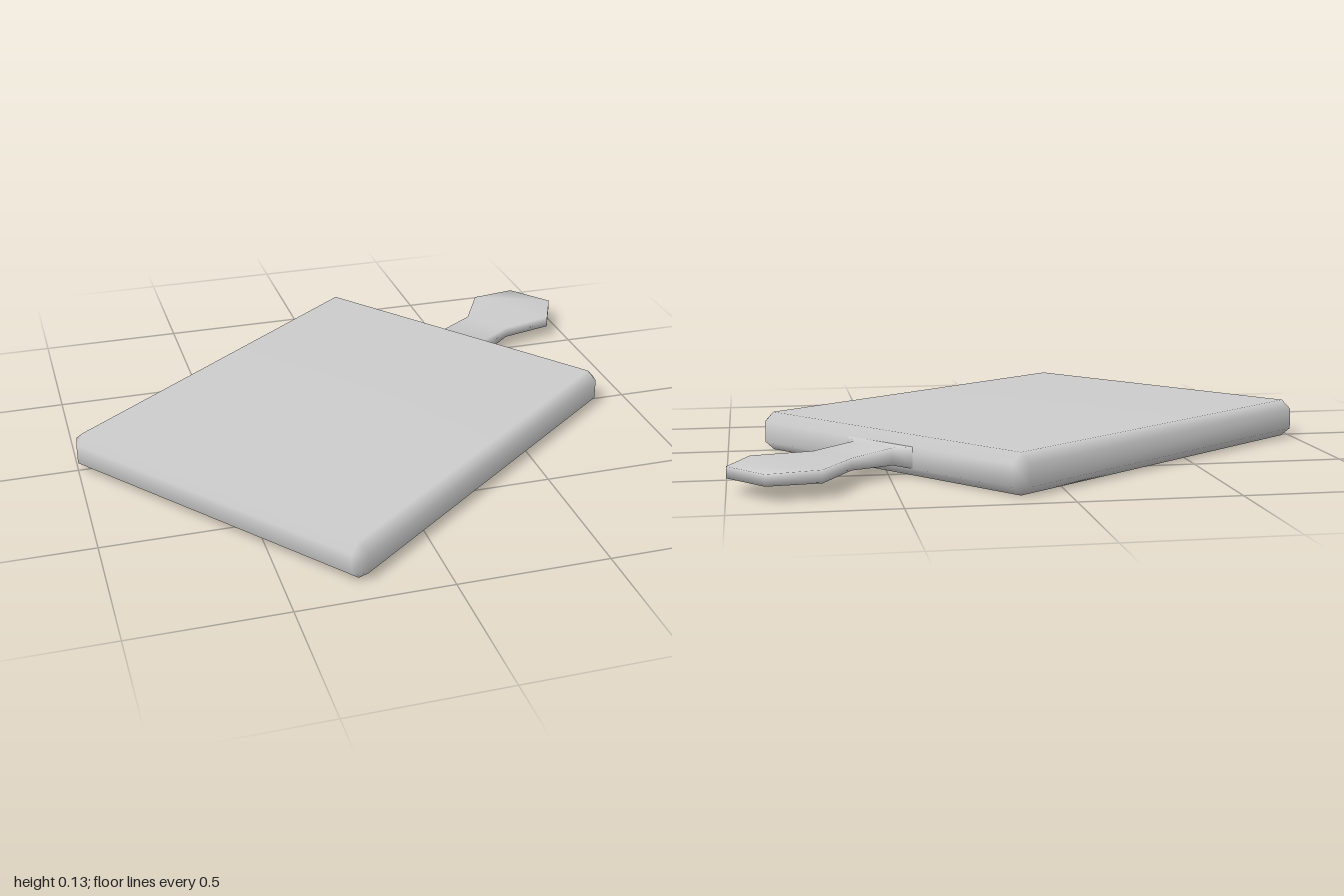
import * as THREE from 'three';
import { ConvexGeometry } from 'three/addons/geometries/ConvexGeometry.js';
import { mergeVertices } from 'three/addons/utils/BufferGeometryUtils.js';

const MID = 0.065; // height of the middle plane

// Box with every edge bevelled once, shaded smoothly across the bevels
function bevelledBox(hx, hy, hz, b, by) {
  const points = [];
  for (const sx of [-1, 1]) for (const sy of [-1, 1]) for (const sz of [-1, 1]) {
    points.push(
      new THREE.Vector3(sx * hx, sy * (hy - by), sz * (hz - b)),
      new THREE.Vector3(sx * (hx - b), sy * hy, sz * (hz - b)),
      new THREE.Vector3(sx * (hx - b), sy * (hy - by), sz * hz)
    );
  }
  const hull = new ConvexGeometry(points);
  hull.deleteAttribute('normal');
  const geometry = mergeVertices(hull, 1e-5);
  geometry.computeVertexNormals();
  return geometry;
}

// Rectangular sections [x, half height, half width] joined along x
function loft(sections) {
  const positions = [], index = [];
  for (const [x, h, w] of sections) {
    positions.push(x, h, -w, x, h, w, x, -h, w, x, -h, -w);
  }
  for (let i = 0; i < sections.length - 1; i++) {
    for (let j = 0; j < 4; j++) {
      const k = (j + 1) % 4;
      const a = i * 4 + j, b = i * 4 + k, c = b + 4, d = a + 4;
      index.push(a, b, c, a, c, d);
    }
  }
  const e = (sections.length - 1) * 4;
  index.push(e, e + 1, e + 2, e, e + 2, e + 3); // outer end cap
  const geometry = new THREE.BufferGeometry();
  geometry.setAttribute('position', new THREE.Float32BufferAttribute(positions, 3));
  geometry.setIndex(index);
  geometry.computeVertexNormals();
  return geometry;
}

export function createModel() {
  const model = new THREE.Group();
  model.name = 'cuttingBoard';
  const grey = new THREE.MeshStandardMaterial({ color: 0xcccccc });
  grey.name = 'light grey';

  // The whole board lies turned on the ground
  const turned = new THREE.Group();
  turned.name = 'turnedBoard';
  turned.position.set(-0.063, MID, 0);
  turned.rotation.y = 0.66;
  model.add(turned);

  const board = new THREE.Mesh(bevelledBox(0.742, MID, 0.607, 0.036, 0.03), grey);
  board.name = 'board';
  turned.add(board);

  // Handle: flared root, narrow neck, wide six-sided grip
  const handle = new THREE.Mesh(loft([
    [0.74, 0.035, 0.155],
    [0.77, 0.028, 0.09],
    [0.94, 0.019, 0.09],
    [1.122, 0.02, 0.169],
    [1.272, 0.018, 0.091]
  ]), grey);
  handle.name = 'handle';
  turned.add(handle);

  return model;
}
